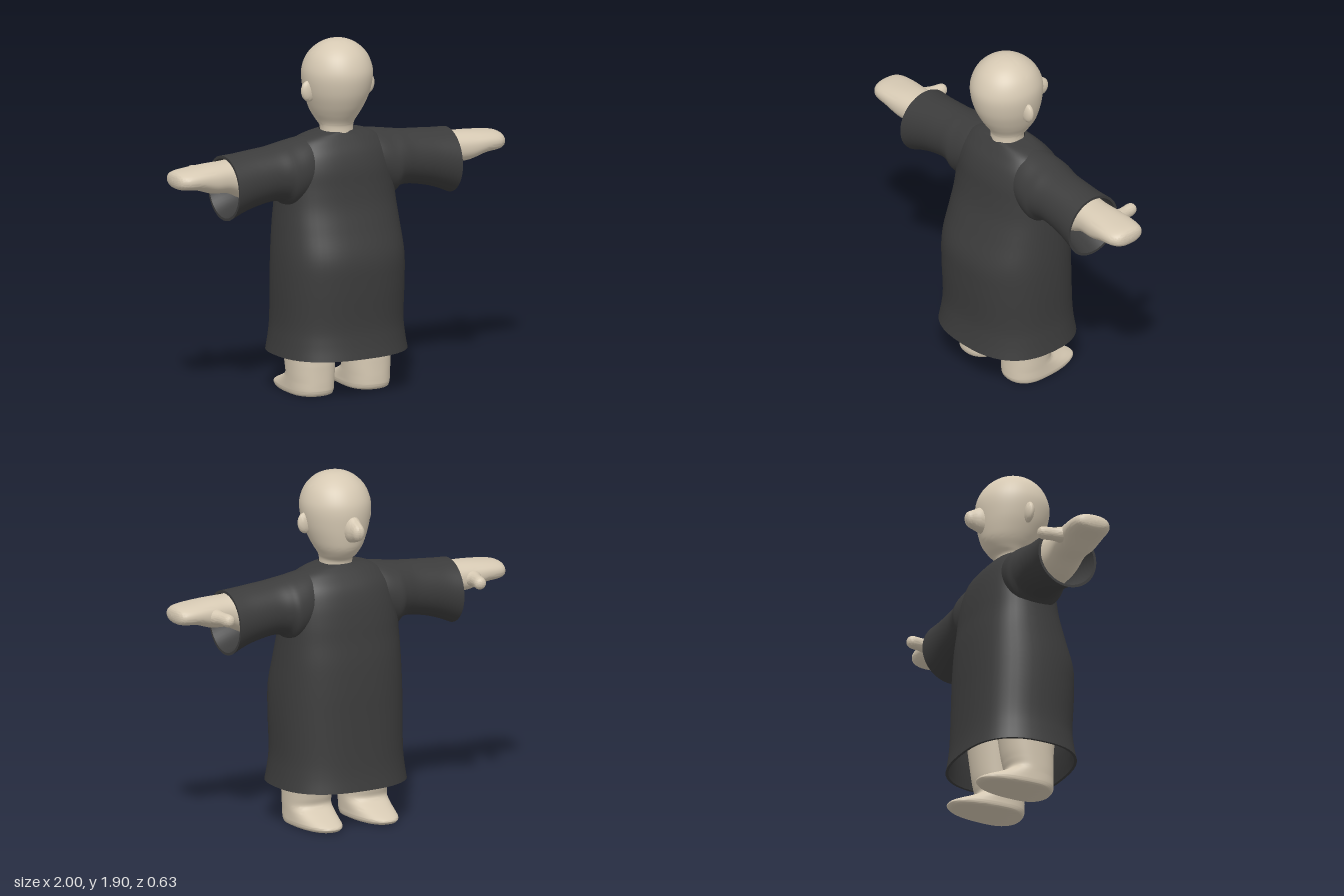
import * as THREE from 'three';
import { toCreasedNormals } from 'three/addons/utils/BufferGeometryUtils.js';

const skin = new THREE.MeshStandardMaterial({ color: 0xd6c9b3 });
skin.name = 'skin';
const cloth = new THREE.MeshStandardMaterial({ color: 0x3c3c3c, side: THREE.DoubleSide });
cloth.name = 'dark cloth';

// Catmull-Rom interpolation between cross-sections, component by component
function smooth(rings, steps) {
  const out = [];
  const at = (i) => rings[Math.min(Math.max(i, 0), rings.length - 1)];
  for (let i = 0; i < rings.length - 1; i++) {
    for (let s = 0; s < steps; s++) {
      const t = s / steps;
      out.push(at(i).map((p1, k) => {
        const p0 = at(i - 1)[k], p2 = at(i + 1)[k], p3 = at(i + 2)[k];
        return 0.5 * (2 * p1 + (p2 - p0) * t + (2 * p0 - 5 * p1 + 4 * p2 - p3) * t * t
          + (3 * p1 - p0 - 3 * p2 + p3) * t * t * t);
      }));
    }
  }
  out.push(at(rings.length - 1));
  return out;
}

// Skins superellipse sections [t, u0, u1, v0, v1, (u centre)] along an axis.
// Axis y uses u = z, v = x; axis x uses u = y, v = z; axis z uses u = x, v = y.
function loft(axis, sections, { power = 2, lip = null, capStart = true, capEnd = true } = {}) {
  const n = 48, thick = 0.014;
  let rings = smooth(sections, 5);
  const inset = (r) => [r[0], r[1] + thick, r[2] - thick, r[3] + thick, r[4] - thick, ...r.slice(5)];
  // Folded lining inside an open hem
  if (lip === 'start') rings = [...rings.slice(0, 28).map(inset).reverse(), ...rings];
  if (lip === 'end') rings = [...rings, ...rings.slice(-18).map(inset).reverse()];
  const place = (t, u, v) => (axis === 'y' ? [v, t, u] : axis === 'x' ? [t, u, v] : [u, v, t]);
  const pos = [], idx = [];
  const bend = (c) => Math.sign(c) * Math.pow(Math.abs(c), 2 / power);
  for (const [t, u0, u1, v0, v1, uc = (u0 + u1) / 2] of rings) {
    for (let j = 0; j < n; j++) {
      const a = (j / n) * Math.PI * 2;
      const c = bend(Math.cos(a)), s = bend(Math.sin(a));
      pos.push(...place(t, uc + c * (c > 0 ? u1 - uc : uc - u0), (v0 + v1) / 2 + s * (v1 - v0) / 2));
    }
  }
  for (let i = 0; i < rings.length - 1; i++) {
    for (let j = 0; j < n; j++) {
      const a = i * n + j, b = i * n + (j + 1) % n;
      idx.push(a, b, b + n, a, b + n, a + n);
    }
  }
  const cap = (i, flip) => {
    const [t, u0, u1, v0, v1] = rings[i], m = pos.length / 3;
    pos.push(...place(t, (u0 + u1) / 2, (v0 + v1) / 2));
    for (let j = 0; j < n; j++) {
      const a = i * n + j, b = i * n + (j + 1) % n;
      idx.push(m, ...(flip ? [b, a] : [a, b]));
    }
  };
  if (capStart) cap(0, true);
  if (capEnd) cap(rings.length - 1, false);
  const geo = new THREE.BufferGeometry();
  geo.setAttribute('position', new THREE.Float32BufferAttribute(pos, 3));
  geo.setIndex(idx);
  return geo;
}

function mirrored(geo) {
  const g = geo.clone().scale(-1, 1, 1);
  g.index.array.reverse();
  return g;
}

export function createModel() {
  const model = new THREE.Group();
  const add = (name, geo, mat) => {
    const mesh = new THREE.Mesh(toCreasedNormals(geo, 1.0), mat);
    mesh.name = name;
    model.add(mesh);
  };
  const pair = (name, geo, mat) => {
    add('left' + name, geo, mat);
    add('right' + name, mirrored(geo), mat);
  };

  // Head and neck
  add('head', loft('y', [
    [1.34, -0.09, 0.095, -0.09, 0.09], [1.42, -0.09, 0.09, -0.088, 0.088],
    [1.455, -0.13, 0.1, -0.1, 0.1], [1.5, -0.162, 0.13, -0.127, 0.127],
    [1.55, -0.177, 0.16, -0.15, 0.15], [1.62, -0.188, 0.19, -0.174, 0.174],
    [1.7, -0.193, 0.205, -0.187, 0.187], [1.76, -0.182, 0.197, -0.181, 0.181],
    [1.82, -0.148, 0.167, -0.154, 0.154], [1.865, -0.098, 0.12, -0.108, 0.108],
    [1.89, -0.045, 0.063, -0.057, 0.057], [1.898, 0.008, 0.01, -0.001, 0.001],
  ]), skin);

  // Nose, on the -z side
  add('nose', loft('z', [
    [-0.272, -0.001, 0.001, 1.616, 1.618], [-0.266, -0.02, 0.02, 1.592, 1.642],
    [-0.25, -0.032, 0.032, 1.57, 1.656], [-0.22, -0.038, 0.038, 1.558, 1.672],
    [-0.19, -0.047, 0.047, 1.548, 1.688], [-0.14, -0.055, 0.055, 1.535, 1.7],
  ]), skin);

  // Ears
  const ear = new THREE.SphereGeometry(1, 24, 16).scale(0.042, 0.057, 0.024);
  pair('Ear', ear.rotateZ(-0.15).translate(0.18, 1.632, 0.014), skin);

  // Gown body, open at the hem
  add('gown', loft('y', [
    [0.22, -0.315, 0.315, -0.37, 0.37], [0.3, -0.302, 0.3, -0.358, 0.358],
    [0.4, -0.294, 0.292, -0.35, 0.35], [0.6, -0.286, 0.3, -0.353, 0.353],
    [0.75, -0.281, 0.296, -0.351, 0.351], [0.9, -0.27, 0.25, -0.341, 0.341],
    [1.02, -0.253, 0.213, -0.331, 0.331], [1.12, -0.24, 0.195, -0.325, 0.325],
    [1.22, -0.22, 0.182, -0.315, 0.315], [1.3, -0.19, 0.156, -0.295, 0.295],
    [1.36, -0.142, 0.118, -0.245, 0.245], [1.392, -0.108, 0.095, -0.175, 0.175],
    [1.408, -0.088, 0.086, -0.088, 0.088],
  ], { power: 2.5, lip: 'start', capStart: false, capEnd: false }), cloth);

  // Sleeves, flaring toward open cuffs
  pair('Sleeve', loft('x', [
    [0.06, 1.1, 1.4, -0.1, 0.09], [0.2, 1.06, 1.387, -0.165, 0.14],
    [0.3, 1.02, 1.371, -0.185, 0.153], [0.35, 1.053, 1.363, -0.172, 0.148],
    [0.42, 1.06, 1.354, -0.158, 0.14], [0.53, 1.04, 1.345, -0.16, 0.142],
    [0.61, 1.015, 1.338, -0.168, 0.15], [0.68, 0.985, 1.334, -0.182, 0.16],
  ], { lip: 'end', capStart: false, capEnd: false }), cloth);

  // Arms ending in mitten hands
  pair('Arm', loft('x', [
    [0.4, 1.08, 1.325, -0.13, 0.11], [0.56, 1.09, 1.32, -0.125, 0.11],
    [0.68, 1.14, 1.31, -0.105, 0.103], [0.78, 1.15, 1.306, -0.11, 0.11],
    [0.87, 1.178, 1.298, -0.112, 0.112], [0.94, 1.186, 1.29, -0.108, 0.105],
    [0.978, 1.194, 1.28, -0.093, 0.084], [0.994, 1.21, 1.263, -0.06, 0.055],
    [1.0, 1.235, 1.237, -0.003, 0.003],
  ], { power: 2.3 }), skin);

  // Thumbs
  pair('Thumb', loft('z', [
    [-0.229, 0.764, 0.766, 1.224, 1.226], [-0.222, 0.745, 0.787, 1.205, 1.247],
    [-0.2, 0.733, 0.797, 1.19, 1.258], [-0.15, 0.74, 0.807, 1.19, 1.26],
    [-0.11, 0.738, 0.825, 1.185, 1.265], [-0.05, 0.7, 0.86, 1.18, 1.275],
  ]), skin);

  // Legs with feet tapering toward the toes
  pair('Leg', loft('y', [
    [0, -0.25, 0.125, 0.07, 0.27, 0], [0.006, -0.272, 0.138, 0.056, 0.284, 0],
    [0.025, -0.285, 0.147, 0.05, 0.29, 0], [0.045, -0.25, 0.148, 0.049, 0.291, 0.005],
    [0.075, -0.175, 0.148, 0.047, 0.292, 0.005], [0.11, -0.112, 0.147, 0.045, 0.294, 0.01],
    [0.16, -0.118, 0.146, 0.042, 0.297, 0.01], [0.23, -0.132, 0.146, 0.036, 0.302, 0.008],
    [0.45, -0.16, 0.165, 0.012, 0.318, 0], [0.65, -0.18, 0.18, 0, 0.32, 0],
  ], { power: 2.3 }), skin);

  // Hips hidden under the gown
  add('hips', loft('y', [
    [0.46, -0.06, 0.07, -0.15, 0.15], [0.5, -0.15, 0.16, -0.28, 0.28],
    [0.65, -0.22, 0.22, -0.31, 0.31], [0.85, -0.2, 0.2, -0.29, 0.29],
  ], { power: 2.4 }), skin);

  return model;
}
